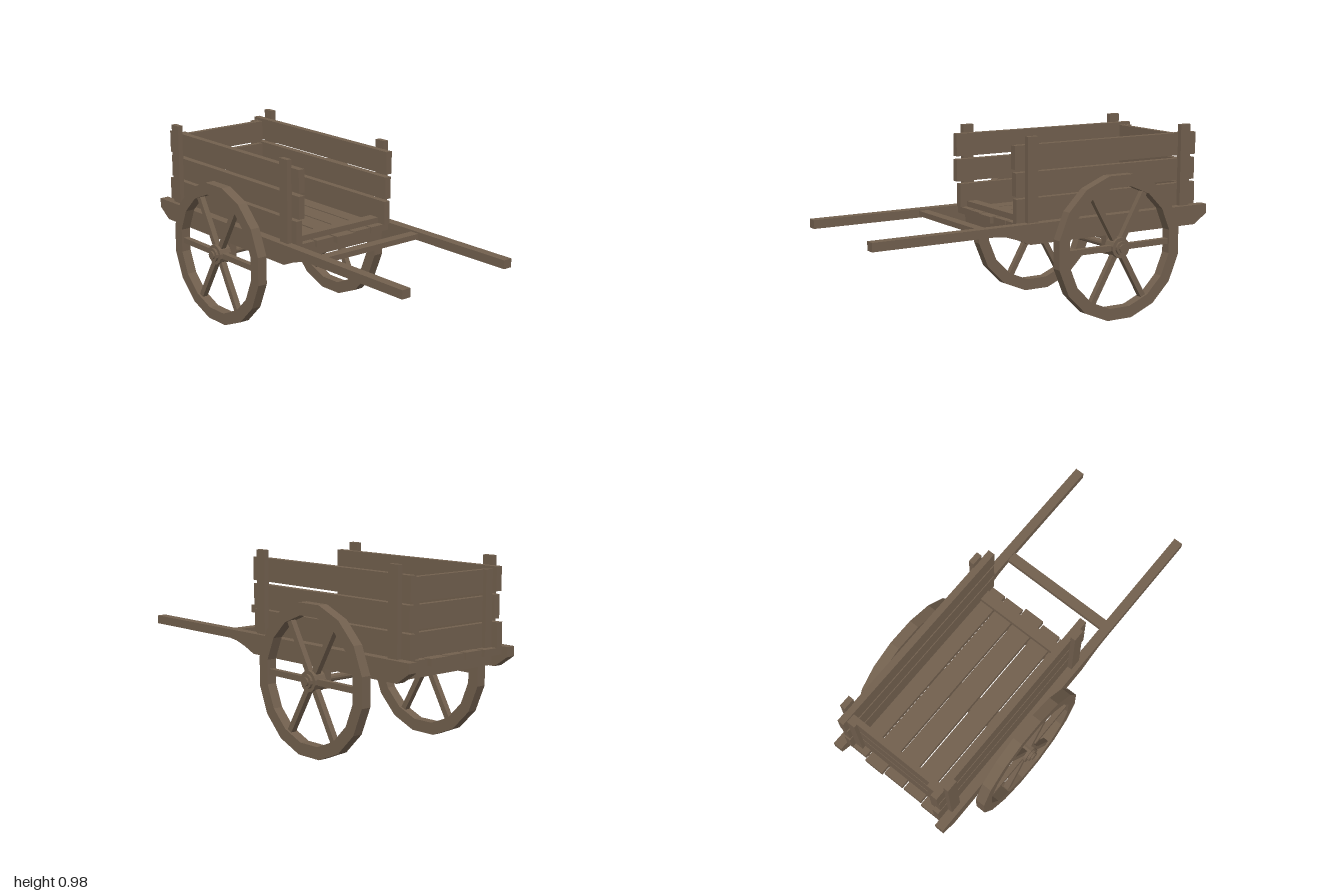
import * as THREE from 'three';

const wood = new THREE.MeshStandardMaterial({ color: 0x72604e, flatShading: true });
const WHEEL_X = -0.38, WHEEL_Y = 0.38;

export function createModel() {
  const cart = new THREE.Group();
  cart.name = 'handCart';

  const add = (name, geometry, parent = cart) => {
    const mesh = new THREE.Mesh(geometry, wood);
    mesh.name = name;
    parent.add(mesh);
    return mesh;
  };
  // Box given by its limits on each axis
  const box = (name, x0, x1, y0, y1, z0, z1, parent) => {
    const mesh = add(name, new THREE.BoxGeometry(x1 - x0, y1 - y0, z1 - z0), parent);
    mesh.position.set((x0 + x1) / 2, (y0 + y1) / 2, (z0 + z1) / 2);
    return mesh;
  };
  // Cylinder lying along z
  const roundBar = (name, r, z0, z1, sides, parent) => {
    const g = new THREE.CylinderGeometry(r, r, z1 - z0, sides).rotateX(Math.PI / 2);
    const mesh = add(name, g, parent);
    mesh.position.z = (z0 + z1) / 2;
    return mesh;
  };

  // Long shafts: deep under the bed, slimmed into handles at the front
  const shaft = new THREE.Shape([
    [-1, 0.545], [-1, 0.495], [-0.92, 0.44], [0.13, 0.44], [0.2, 0.47],
    [0.27, 0.492], [0.33, 0.5], [1, 0.5], [1, 0.545],
  ].map(([x, y]) => new THREE.Vector2(x, y)));
  for (const z of [-0.36, 0.31]) {
    add('shaft', new THREE.ExtrudeGeometry(shaft, { depth: 0.05, bevelEnabled: false })).position.z = z;
  }
  box('shaftCrossbar', 0.345, 0.4, 0.508, 0.536, -0.315, 0.315);

  // Floor planks of uneven length
  [
    [-0.95, 0.17, -0.31, -0.19], [-0.965, 0.17, -0.18, -0.07], [-0.955, 0.185, -0.06, 0.055],
    [-0.955, 0.17, 0.067, 0.177], [-0.965, 0.165, 0.187, 0.31],
  ].forEach(([x0, x1, z0, z1]) => box('floorPlank', x0, x1, 0.505, 0.54, z0, z1));

  // Beams under the floor and a sill across the open front
  box('rearBeam', -0.9, -0.83, 0.445, 0.505, -0.315, 0.315);
  box('frontBeam', 0.05, 0.12, 0.445, 0.505, -0.315, 0.315);
  box('axleBeam', -0.42, -0.34, 0.415, 0.505, -0.315, 0.315);
  box('frontSill', 0.07, 0.13, 0.54, 0.57, -0.272, 0.272);

  // Side walls with their posts
  const rows = [[0.54, 0.665, -0.955, 0.18], [0.68, 0.798, -0.95, 0.185], [0.815, 0.935, -0.955, 0.19]];
  for (const s of [-1, 1]) {
    const side = new THREE.Group();
    side.name = s > 0 ? 'leftWall' : 'rightWall';
    cart.add(side);
    const span = (a, b) => (s > 0 ? [a, b] : [-b, -a]);
    rows.forEach(([y0, y1, x0, x1], i) => {
      const shift = s < 0 ? 0 : [-0.01, 0.005, 0][i];
      box('sidePlank', x0 + shift, x1 + shift, y0, y1, ...span(0.273, 0.309), side);
    });
    box('rearPost', -0.898, -0.835, 0.5, 0.982, ...span(0.306, 0.335), side);
    box('frontPost', 0.067, 0.13, 0.5, 0.978, ...span(0.306, 0.335), side);
    box('tailCleat', -0.93, -0.908, 0.54, 0.922, ...span(0.227, 0.273), side);
    box('axleBracket', -0.425, -0.335, 0.34, 0.45, ...span(0.318, 0.358), side);
  }

  // Tail wall
  [[0.54, 0.66], [0.675, 0.79], [0.805, 0.92]].forEach(([y0, y1]) =>
    box('tailPlank', -0.91, -0.88, y0, y1, -0.273, 0.273));

  // Axle
  roundBar('axle', 0.019, -0.45, 0.45, 12).position.set(WHEEL_X, WHEEL_Y, 0);

  // Wheel: sixteen-sided rim, six spokes and a stepped hub
  const ring = (Path, r) => new Path(Array.from({ length: 16 }, (_, i) => {
    const a = ((i + 0.5) / 16) * Math.PI * 2;
    return new THREE.Vector2(Math.cos(a) * r, Math.sin(a) * r);
  }));
  const rimShape = ring(THREE.Shape, 0.386);
  rimShape.holes.push(ring(THREE.Path, 0.322));
  const rimGeometry = new THREE.ExtrudeGeometry(rimShape, { depth: 0.054, bevelEnabled: false });
  for (const s of [-1, 1]) {
    const wheel = new THREE.Group();
    wheel.name = s > 0 ? 'leftWheel' : 'rightWheel';
    wheel.position.set(WHEEL_X, WHEEL_Y, 0);
    if (s < 0) wheel.rotation.y = Math.PI;
    cart.add(wheel);
    add('rim', rimGeometry, wheel).position.z = 0.37;
    for (let i = 0; i < 6; i++) {
      const g = new THREE.BoxGeometry(0.29, 0.03, 0.03).translate(0.18, 0, 0);
      const spoke = add('spoke', g, wheel);
      spoke.rotation.z = (i * Math.PI) / 3;
      spoke.position.z = 0.397;
    }
    roundBar('hub', 0.054, 0.358, 0.428, 14, wheel);
    roundBar('hubCollar', 0.036, 0.428, 0.441, 14, wheel);
    roundBar('hubCap', 0.022, 0.441, 0.451, 12, wheel);
  }
  return cart;
}
